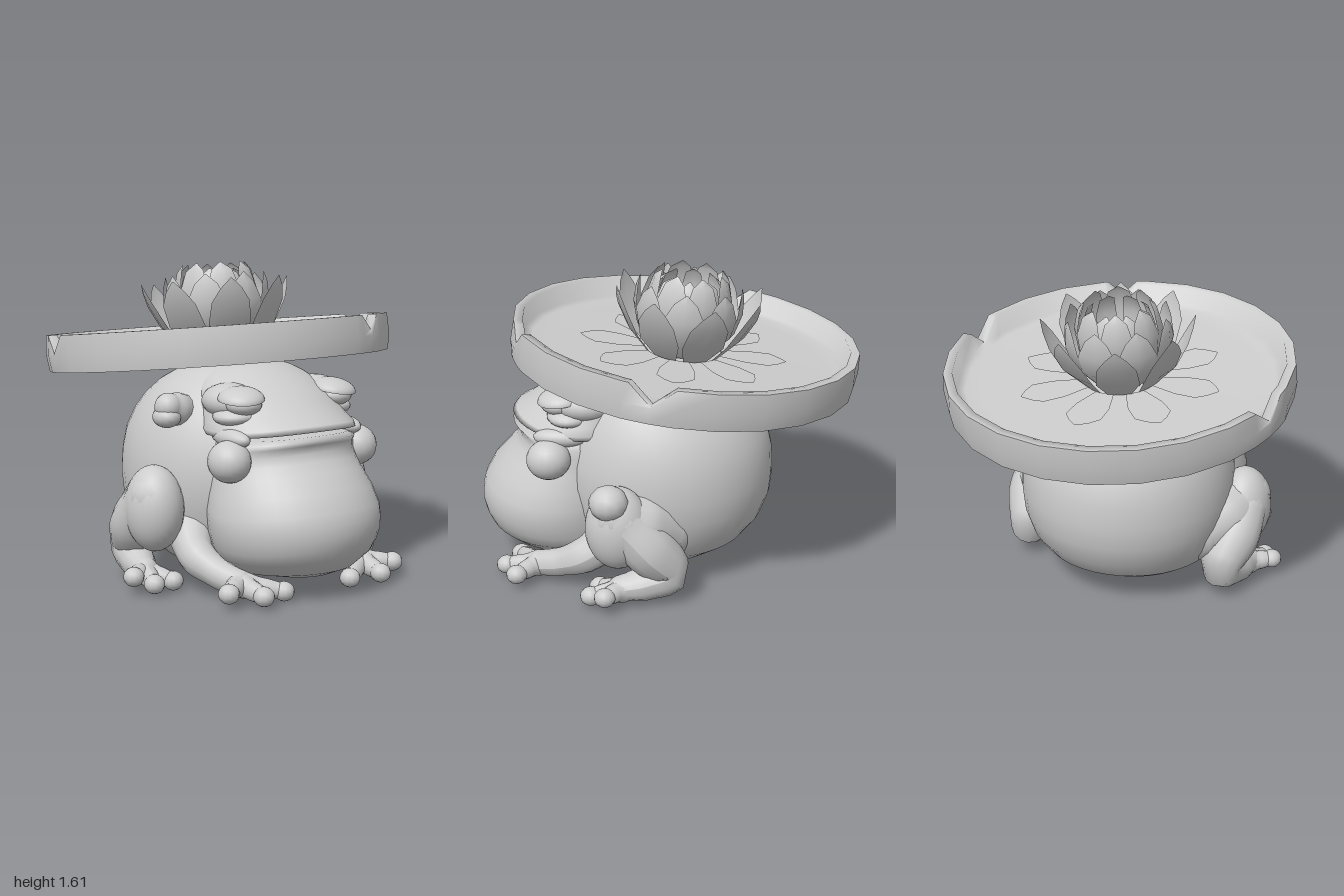
import * as THREE from 'three';
import { toCreasedNormals } from 'three/addons/utils/BufferGeometryUtils.js';

const clay = new THREE.MeshStandardMaterial({ color: 0xcccccc, side: THREE.DoubleSide });
clay.name = 'pale grey clay';

function add(parent, name, geometry) {
  const mesh = new THREE.Mesh(geometry, clay);
  mesh.name = name;
  parent.add(mesh);
  return mesh;
}

function ball(parent, name, [x, y, z], [rx, ry, rz], detail = 20) {
  const mesh = add(parent, name, new THREE.SphereGeometry(1, detail, Math.ceil(detail * 0.7)));
  mesh.position.set(x, y, z);
  mesh.scale.set(rx, ry, rz);
  return mesh;
}

// Skin over rows of points; closed rows wrap round
function skin(rows, closed) {
  const n = rows[0].length, index = [];
  const cols = closed ? n : n - 1;
  for (let i = 0; i < rows.length - 1; i++) {
    for (let j = 0; j < cols; j++) {
      const a = i * n + j, b = i * n + (j + 1) % n;
      index.push(a, b, b + n, a, b + n, a + n);
    }
  }
  const geometry = new THREE.BufferGeometry();
  geometry.setAttribute('position', new THREE.Float32BufferAttribute(rows.flat(2), 3));
  geometry.setIndex(index);
  geometry.computeVertexNormals();
  return geometry;
}

// Horizontal oval sections: [y, half width, front z, back z], drooping towards the sides
function ovalLoft(sections, droop = 0) {
  return skin(sections.map(([y, w, front, back]) => {
    const row = [];
    for (let j = 0; j < 40; j++) {
      const a = j / 40 * Math.PI * 2, x = w * Math.sin(a);
      row.push([x, y - droop * x * x, (front + back) / 2 + (front - back) / 2 * Math.cos(a)]);
    }
    return row;
  }), true);
}

// Tapered limb through points [x, y, z, radius] with rounded ends
function limb(parent, name, points) {
  const curve = new THREE.CatmullRomCurve3(points.map(p => new THREE.Vector3(p[0], p[1], p[2])));
  const steps = 20, sides = 14;
  const geometry = new THREE.TubeGeometry(curve, steps, 1, sides, false);
  const pos = geometry.attributes.position, v = new THREE.Vector3();
  for (let i = 0; i <= steps; i++) {
    const centre = curve.getPointAt(i / steps);
    const t = curve.getUtoTmapping(i / steps) * (points.length - 1);
    const k = Math.min(Math.floor(t), points.length - 2);
    const radius = THREE.MathUtils.lerp(points[k][3], points[k + 1][3], THREE.MathUtils.smoothstep(t - k, 0, 1));
    for (let j = 0; j <= sides; j++) {
      const id = i * (sides + 1) + j;
      v.fromBufferAttribute(pos, id).sub(centre).multiplyScalar(radius).add(centre);
      pos.setXYZ(id, v.x, v.y, v.z);
    }
  }
  geometry.computeVertexNormals();
  add(parent, name, geometry);
  for (const p of [points[0], points.at(-1)]) ball(parent, name + 'End', p, [p[3], p[3], p[3]], 14);
}

// Foot: toes fan out from the palm, each with a round pad
function foot(parent, name, palm, toes) {
  for (const [x, y, z] of toes) {
    const mid = [(palm[0] + x) / 2, (palm[1] + y) / 2, (palm[2] + z) / 2, 0.05];
    limb(parent, name + 'Toe', [[...palm, 0.068], mid, [x, y, z, 0.04]]);
    ball(parent, name + 'ToePad', [x, y, z], [0.052, 0.049, 0.055], 12);
  }
}

// Dish wall and floor with V-shaped chips in the rim, and a flat underside
function addDish(parent) {
  const chips = [[0.41, 0.09, 0.115], [1.47, 0.13, 0.09], [4.5, 0.12, 0.1]]; // angle, half width, height
  const rim = [];
  for (let i = 0; i < 24; i++) {
    const a = i / 24 * Math.PI * 2;
    if (chips.every(c => Math.abs(a - c[0]) > c[1] + 0.02)) rim.push([a, 0.19]);
  }
  for (const [a, w, h] of chips) rim.push([a - w, 0.19], [a, h], [a + w, 0.19]);
  rim.sort((p, q) => p[0] - q[0]);
  const rings = profile => skin(profile.map(([r, h]) =>
    rim.map(([a, top]) => [r * Math.sin(a), h ?? top, r * Math.cos(a)])), true);
  add(parent, 'dishUnderside', rings([[0, 0], [0.895, 0]]));
  add(parent, 'dishBowl', toCreasedNormals(rings([[0.895, 0], [0.908, 0.085], [0.902, null], [0.855, null],
    [0.84, 0.088], [0.8, 0.079], [0.72, 0.075], [0, 0.075]]), 1.45));
}

// Ring of slightly cupped petals; petal rows are [radius, height, half width]
function petalRing(parent, name, turn, rows, cup) {
  const geometry = skin(rows.map(([r, h, w]) => [-1, 0, 1].map(s => [s * w, h, r - cup * Math.abs(s) * w])), false);
  for (let i = 0; i < 8; i++) {
    add(parent, name, geometry).rotation.y = turn + i / 8 * Math.PI * 2;
  }
}

export function createModel() {
  const model = new THREE.Group();
  model.name = 'frogWithDish';

  // Round body, throat sac and head
  add(model, 'body', ovalLoft([
    [0.03, 0, 0.15, 0.15], [0.04, 0.2, 0.38, -0.06], [0.06, 0.3, 0.42, -0.18], [0.1, 0.38, 0.46, -0.29],
    [0.18, 0.47, 0.51, -0.425], [0.28, 0.525, 0.55, -0.505], [0.4, 0.56, 0.58, -0.55], [0.52, 0.573, 0.6, -0.562],
    [0.64, 0.565, 0.59, -0.555], [0.75, 0.543, 0.56, -0.53], [0.85, 0.503, 0.52, -0.475], [0.93, 0.455, 0.47, -0.405],
    [1.0, 0.39, 0.42, -0.32], [1.06, 0.31, 0.36, -0.21], [1.1, 0.22, 0.31, -0.1], [1.12, 0.12, 0.24, 0],
    [1.125, 0, 0.12, 0.12]]));
  add(model, 'throatSac', ovalLoft([
    [0.09, 0, 0.55, 0.55], [0.1, 0.2, 0.8, 0.2], [0.14, 0.31, 0.89, 0.15], [0.22, 0.395, 0.96, 0.15],
    [0.28, 0.42, 0.987, 0.15], [0.34, 0.44, 1.0, 0.15], [0.4, 0.448, 0.997, 0.15], [0.46, 0.45, 0.98, 0.15],
    [0.55, 0.43, 0.93, 0.15], [0.63, 0.405, 0.855, 0.15], [0.68, 0.395, 0.81, 0.15], [0.72, 0.39, 0.785, 0.15],
    [0.76, 0.385, 0.79, 0.15], [0.787, 0.375, 0.82, 0.15], [0.8, 0.34, 0.78, 0.15], [0.79, 0, 0.4, 0.4]], 0.25));
  add(model, 'head', ovalLoft([
    [0.83, 0, 0.4, 0.4], [0.82, 0.35, 0.73, 0.05], [0.83, 0.4, 0.82, 0.05], [0.855, 0.405, 0.8, 0.05],
    [0.89, 0.39, 0.735, 0.05], [0.94, 0.375, 0.67, 0.05], [0.99, 0.36, 0.6, 0.05], [1.03, 0.335, 0.53, 0],
    [1.07, 0.285, 0.45, 0], [1.1, 0.22, 0.38, 0], [1.115, 0.14, 0.31, 0], [1.12, 0, 0.2, 0.2]], 0.25));

  for (const s of [1, -1]) {
    // Eyes under heavy lids
    ball(model, 'eye', [s * 0.285, 0.95, 0.535], [0.09, 0.055, 0.092]);
    const lid = add(model, 'upperEyelid', new THREE.SphereGeometry(1, 24, 10, 0, Math.PI * 2, 0, Math.PI / 2));
    lid.position.set(s * 0.29, 0.975, 0.52);
    lid.scale.set(0.115, 0.06, 0.122);
    lid.rotation.set(0.12, 0, s * -0.08);
    const lower = ball(model, 'lowerEyelid', [s * 0.29, 0.89, 0.48], [0.12, 0.05, 0.115]);
    lower.rotation.z = s * -0.06;
    ball(model, 'brow', [s * 0.27, 0.95, 0.4], [0.135, 0.09, 0.16]);
    ball(model, 'cheekBulb', [s * 0.4, 0.685, 0.575], [0.105, 0.105, 0.115]);
    ball(model, 'mouthCorner', [s * 0.35, 0.79, 0.52], [0.06, 0.05, 0.14]);

    // Front leg
    limb(model, 'frontLeg', [[s * 0.38, 0.3, 0.22, 0.14], [s * 0.46, 0.19, 0.37, 0.095],
      [s * 0.43, 0.12, 0.52, 0.075], [s * 0.39, 0.09, 0.64, 0.068]]);
    foot(model, 'front', [s * 0.385, 0.085, 0.64],
      [[s * 0.52, 0.08, 0.74], [s * 0.37, 0.06, 0.82], [s * 0.21, 0.049, 0.77]]);

    // Folded hind leg: thigh, shin back to the heel, foot forwards
    limb(model, 'hindThigh', [[s * 0.42, 0.34, 0.0, 0.18], [s * 0.52, 0.4, 0.1, 0.18], [s * 0.595, 0.47, 0.21, 0.14]]);
    ball(model, 'hindKnee', [s * 0.595, 0.41, 0.2], [0.145, 0.22, 0.165], 28);
    limb(model, 'hindShin', [[s * 0.605, 0.44, 0.17, 0.13], [s * 0.6, 0.31, 0.05, 0.14],
      [s * 0.57, 0.16, -0.06, 0.108], [s * 0.61, 0.11, 0.06, 0.09], [s * 0.64, 0.09, 0.18, 0.068]]);
    foot(model, 'hind', [s * 0.64, 0.085, 0.17],
      [[s * 0.75, 0.09, 0.25], [s * 0.68, 0.06, 0.33], [s * 0.55, 0.05, 0.3]]);
  }

  // Warts: one on the left knee, a lumpy one on the right shoulder
  ball(model, 'kneeWart', [0.665, 0.575, 0.235], [0.095, 0.09, 0.1], 12);
  limb(model, 'shoulderWart', [[-0.38, 0.87, 0.16, 0.09], [-0.46, 0.9, 0.2, 0.085], [-0.52, 0.92, 0.22, 0.07]]);
  ball(model, 'shoulderWartLobe', [-0.53, 0.87, 0.22], [0.07, 0.055, 0.08], 14);

  // Tilted dish on the back
  const dish = new THREE.Group();
  dish.name = 'dish';
  dish.position.set(0, 1.085, -0.08);
  dish.rotation.x = -0.117;
  model.add(dish);
  addDish(dish);

  // Water flower in the dish
  const flower = new THREE.Group();
  flower.name = 'flower';
  flower.position.set(0, 0.08, 0.01);
  dish.add(flower);
  petalRing(flower, 'flatPetal', 0,
    [[0.2, 0.004, 0.05], [0.34, 0.006, 0.09], [0.45, 0.008, 0.095], [0.5, 0.008, 0.055], [0.54, 0.01, 0.005]], 0);
  petalRing(flower, 'outerPetal', Math.PI / 8,
    [[0.2, 0, 0.06], [0.3, 0.11, 0.11], [0.36, 0.22, 0.1], [0.385, 0.29, 0.055], [0.395, 0.34, 0.004]], 0.1);
  petalRing(flower, 'middlePetal', 0,
    [[0.15, 0, 0.05], [0.255, 0.12, 0.105], [0.285, 0.23, 0.105], [0.28, 0.32, 0.06], [0.265, 0.37, 0.004]], 0.25);
  petalRing(flower, 'innerPetal', Math.PI / 8,
    [[0.12, 0, 0.05], [0.21, 0.16, 0.085], [0.225, 0.29, 0.085], [0.2, 0.39, 0.055], [0.165, 0.43, 0.004]], 0.25);
  petalRing(flower, 'heartPetal', 0,
    [[0.11, 0, 0.03], [0.185, 0.16, 0.055], [0.195, 0.28, 0.055], [0.165, 0.37, 0.04], [0.125, 0.4, 0.004]], 0.25);

  return model;
}
